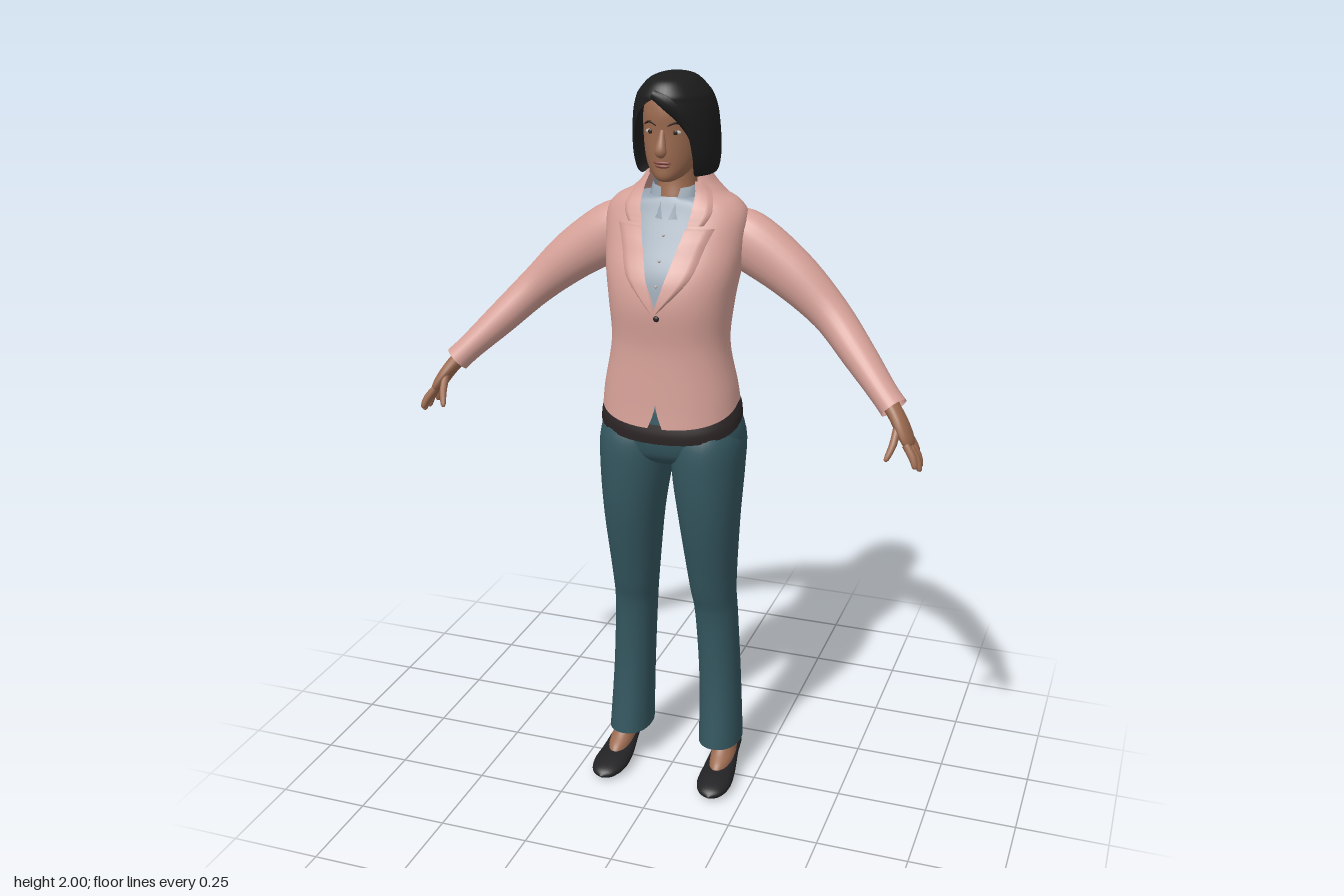
import * as THREE from 'three';
import { mergeVertices } from 'three/addons/utils/BufferGeometryUtils.js';

const mat = (name, color) => new THREE.MeshStandardMaterial({ name, color, side: THREE.DoubleSide });
const M = {
  skin: mat('skin', 0x9c6b50), hair: mat('hair', 0x1c1c1d), jacket: mat('jacket pink', 0xd6a198),
  shirt: mat('shirt grey blue', 0x98a5b2), trousers: mat('trousers teal', 0x34565f),
  shoes: mat('shoe black', 0x222224), belt: mat('belt dark', 0x2a2324),
  lips: mat('lips', 0x85483e), eye: mat('eye white', 0xb9b4ac), iris: mat('iris', 0x2e1f18),
};

// Catmull-Rom through rows of numbers
function smooth(rows, steps = 5) {
  const out = [], n = rows.length, at = i => rows[Math.min(n - 1, Math.max(0, i))];
  for (let i = 0; i < n - 1; i++) for (let k = 0; k < steps; k++) {
    const t = k / steps, [a, b, c, d] = [at(i - 1), at(i), at(i + 1), at(i + 2)];
    out.push(b.map((_, j) => 0.5 * (2 * b[j] + (c[j] - a[j]) * t
      + (2 * a[j] - 5 * b[j] + 4 * c[j] - d[j]) * t * t + (3 * b[j] - a[j] - 3 * c[j] + d[j]) * t ** 3)));
  }
  out.push(rows[n - 1]);
  return out;
}

// Smooth surface from f(i, j) -> [x, y, z]
function grid(nu, nv, f) {
  const pos = [], idx = [], w = nu + 1;
  for (let j = 0; j <= nv; j++) for (let i = 0; i <= nu; i++) pos.push(...f(i, j));
  for (let j = 0; j < nv; j++) for (let i = 0; i < nu; i++) {
    const a = j * w + i;
    idx.push(a, a + 1, a + w + 1, a, a + w + 1, a + w);
  }
  let g = new THREE.BufferGeometry();
  g.setAttribute('position', new THREE.Float32BufferAttribute(pos, 3));
  g.setIndex(idx);
  g = mergeVertices(g, 1e-5);
  g.computeVertexNormals();
  return g;
}

// Horizontal rings, bottom to top: [y, half width, z front, z back, front gap, centre x, gap on -x]
function loft(rows, p = 2, warp = null, seg = 36) {
  const R = smooth(rows);
  return grid(seg, R.length - 1, (i, j) => {
    const [y, rx, zf, zb, gap = 0, cx = 0, gap2 = gap] = R[j];
    const open = g => Math.asin(Math.min(0.97, Math.max(0, g) / rx) ** (p / 2));
    const a0 = open(gap), a1 = 2 * Math.PI - open(gap2), a = a0 + (a1 - a0) * i / seg;
    const pw = v => Math.sign(v) * Math.abs(v) ** (2 / p);
    const pt = [cx + rx * pw(Math.sin(a)), y, (zf + zb) / 2 + (zf - zb) / 2 * pw(Math.cos(a))];
    return warp ? warp(pt) : pt;
  });
}

// Tube along a path: [x, y, z, radius along ref, other radius]
function limb(rows, ref = [0, 0, 1], seg = 18, steps = 5) {
  const R = smooth(rows, steps), V = r => new THREE.Vector3(r[0], r[1], r[2]), X = new THREE.Vector3(...ref);
  const frames = R.map((r, j) => {
    const t = V(R[Math.min(R.length - 1, j + 1)]).sub(V(R[Math.max(0, j - 1)])).normalize();
    const n = X.clone().addScaledVector(t, -X.dot(t)).normalize();
    return [n, t.clone().cross(n)];
  });
  return grid(seg, R.length - 1, (i, j) => {
    const a = 2 * Math.PI * i / seg, [n, b] = frames[j];
    return V(R[j]).addScaledVector(n, R[j][3] * Math.cos(a)).addScaledVector(b, R[j][4] * Math.sin(a)).toArray();
  });
}

function mirrored(geo) {
  const g = geo.clone().scale(-1, 1, 1), ix = g.index.array;
  for (let i = 0; i < ix.length; i += 3) [ix[i], ix[i + 1]] = [ix[i + 1], ix[i]];
  g.computeVertexNormals();
  return g;
}

function ball(x, y, z, rx, ry, rz) {
  return new THREE.SphereGeometry(1, 16, 10).scale(rx, ry, rz).translate(x, y, z);
}

export function createModel() {
  const root = new THREE.Group();
  root.name = 'woman';
  const add = (name, geo, material) => {
    const m = new THREE.Mesh(geo, material);
    m.name = name;
    root.add(m);
  };
  const pair = (name, geo, material) => {
    add(name + 'Left', geo, material);
    add(name + 'Right', mirrored(geo), material);
  };

  // Jacket body with a V opening and a hem dipping at the front
  const P = 2.3;
  const torso = [
    [1.15, 0.185, 0.145, -0.13, 0.02], [1.2, 0.178, 0.14, -0.12, 0], [1.31, 0.157, 0.135, -0.11, 0],
    [1.42, 0.165, 0.145, -0.135, 0], [1.5, 0.178, 0.13, -0.15, 0.03], [1.58, 0.188, 0.09, -0.155, 0.052],
    [1.64, 0.188, 0.06, -0.145, 0.066], [1.675, 0.165, 0.045, -0.135, 0.074],
    [1.7, 0.12, 0.03, -0.125, 0.074], [1.74, 0.075, 0.02, -0.115, 0.064]];
  add('jacketBody', loft(torso, P, ([x, y, z]) =>
    [x, y - 0.05 * Math.max(0, z) / 0.145 * Math.min(1, Math.max(0, (1.3 - y) / 0.15)), z], 48), M.jacket);
  add('jacketCollar', loft([[1.69, 0.132, 0.03, -0.137, 0.105], [1.72, 0.1, 0.02, -0.13, 0.08],
    [1.75, 0.08, 0.01, -0.116, 0.065]], P), M.jacket);

  // Lapels laid on the jacket front
  const dense = smooth(torso, 12);
  const frontZ = (x, y) => {
    const [, rx, zf, zb] = dense.find(r => r[0] >= y) || dense[dense.length - 1];
    return (zf + zb) / 2 + (zf - zb) / 2 * Math.max(0, 1 - Math.min(1, x / rx) ** P) ** (1 / P);
  };
  const flap = rows => {
    const R = smooth(rows, 4);
    return grid(6, R.length - 1, (i, j) => {
      const [y, a, b] = R[j], x = a + (b - a) * i / 6;
      return [x, y, frontZ(x, y) + (i === 6 ? 0.002 : 0.01)];
    });
  };
  pair('lapel', flap([[1.415, 0, 0.008], [1.5, 0.026, 0.085], [1.58, 0.048, 0.113], [1.622, 0.06, 0.13]]), M.jacket);
  pair('collarFlap', flap([[1.628, 0.062, 0.102], [1.66, 0.069, 0.118], [1.7, 0.07, 0.106], [1.73, 0.064, 0.078]]), M.jacket);
  add('jacketButton', ball(0.006, 1.4, 0.146, 0.008, 0.008, 0.005), M.belt);

  // Shirt
  const inner = torso.slice(3, 8).map(([y, rx, zf, zb]) => [y, rx - 0.01, zf - 0.008, zb + 0.01]);
  add('shirt', loft([...inner, [1.69, 0.05, 0.03, -0.09]], P), M.shirt);
  pair('shirtCollar', grid(6, 3, (i, j) => {
    const a = 0.1 + 0.12 * j + i / 6 * (3.04 - 0.12 * j), r = 0.078 - 0.006 * j;
    return [r * Math.sin(a), 1.65 + 0.024 * j - 0.012 * Math.cos(a), -0.025 + (r + 0.008 - 0.008 * j) * Math.cos(a)];
  }), M.shirt);
  for (let k = 0; k < 3; k++)
    add('shirtButton', ball(0, 1.48 + k * 0.06, frontZ(0, 1.48 + k * 0.06) - 0.006, 0.004, 0.004, 0.003), M.eye);

  // Sleeves
  pair('sleeve', limb([[0.1, 1.6, -0.07, 0.01, 0.01], [0.125, 1.59, -0.07, 0.05, 0.055],
    [0.18, 1.572, -0.07, 0.063, 0.078], [0.3, 1.495, -0.065, 0.06, 0.068], [0.41, 1.4, -0.055, 0.055, 0.052],
    [0.5, 1.31, -0.01, 0.049, 0.044], [0.575, 1.235, 0.035, 0.042, 0.036], [0.61, 1.2, 0.053, 0.042, 0.036]], [0, 0, 1], 24), M.jacket);

  // Hands
  pair('palm', limb([[0.58, 1.23, 0.038, 0.027, 0.022], [0.615, 1.19, 0.06, 0.029, 0.02], [0.64, 1.155, 0.075, 0.037, 0.018],
    [0.66, 1.12, 0.086, 0.034, 0.013], [0.664, 1.112, 0.088, 0.002, 0.002]]), M.skin);
  const fingers = [[0.66, 1.125, 0.06, 0.675, 1.072, 0.055], [0.662, 1.122, 0.077, 0.691, 1.06, 0.08],
    [0.66, 1.122, 0.095, 0.694, 1.058, 0.106], [0.655, 1.126, 0.11, 0.686, 1.072, 0.13],
    [0.628, 1.165, 0.09, 0.612, 1.09, 0.148]];
  for (const [x, y, z, X, Y, Z] of fingers) {
    const at = (t, r) => [x + (X - x) * t + 0.005 * Math.sin(Math.PI * t), y + (Y - y) * t, z + (Z - z) * t, r, r];
    pair('finger', limb([at(0, 0.01), at(0.5, 0.01), at(0.92, 0.007), at(1, 0.001)], [0, 0, 1], 10, 3), M.skin);
  }

  // Trousers and belt
  add('trouserSeat', loft([[0.955, 0.04, 0.02, -0.06], [0.975, 0.12, 0.07, -0.09], [1.005, 0.188, 0.105, -0.122],
    [1.06, 0.198, 0.118, -0.136], [1.11, 0.186, 0.118, -0.122], [1.16, 0.16, 0.1, -0.1], [1.17, 0.01, 0.01, -0.01]], 2.3), M.trousers);
  pair('trouserLeg', loft([[0.1, 0.06, 0.05, -0.12, 0, 0.137], [0.3, 0.057, 0.03, -0.115, 0, 0.13],
    [0.5, 0.058, 0.036, -0.105, 0, 0.12], [0.6, 0.063, 0.06, -0.096, 0, 0.114], [0.8, 0.08, 0.105, -0.1, 0, 0.109],
    [0.95, 0.095, 0.12, -0.122, 0, 0.103], [1.05, 0.096, 0.115, -0.135, 0, 0.101], [1.12, 0.07, 0.08, -0.1, 0, 0.095]], 2.2), M.trousers);
  add('belt', loft([[1.1, 0.194, 0.13, -0.12], [1.125, 0.19, 0.13, -0.12], [1.15, 0.178, 0.125, -0.118]], 2.3,
    ([x, y, z]) => [x, y - 0.045 * z / 0.12, z]), M.belt);

  // Feet and heeled shoes
  pair('foot', loft([[0.035, 0.034, 0.085, -0.08, 0, 0.155], [0.06, 0.034, 0.068, -0.083, 0, 0.155],
    [0.085, 0.032, 0.03, -0.083, 0, 0.152], [0.12, 0.032, 0, -0.08, 0, 0.147], [0.2, 0.035, 0, -0.085, 0, 0.138]]), M.skin);
  pair('shoe', limb([[0.153, 0.076, -0.096, 0.004, 0.004], [0.153, 0.072, -0.085, 0.032, 0.02], [0.154, 0.057, -0.03, 0.038, 0.024],
    [0.156, 0.031, 0.04, 0.047, 0.026], [0.159, 0.023, 0.1, 0.049, 0.022], [0.162, 0.018, 0.145, 0.033, 0.015],
    [0.163, 0.015, 0.164, 0.002, 0.002]], [1, 0, 0], 20), M.shoes);
  pair('heel', new THREE.CylinderGeometry(0.026, 0.011, 0.066, 14).translate(0.153, 0.033, -0.077), M.shoes);

  // Neck and head
  add('neck', loft([[1.62, 0.06, 0.03, -0.1], [1.68, 0.054, 0.02, -0.1], [1.73, 0.05, 0.01, -0.095], [1.8, 0.05, 0.01, -0.09]]), M.skin);
  add('head', loft([[1.733, 0.004, 0.05, 0.045], [1.737, 0.022, 0.07, 0.01], [1.75, 0.042, 0.079, -0.04], [1.775, 0.06, 0.08, -0.07],
    [1.81, 0.071, 0.082, -0.1], [1.86, 0.077, 0.083, -0.12], [1.91, 0.075, 0.086, -0.12], [1.95, 0.06, 0.07, -0.1],
    [1.975, 0.01, 0, -0.03]]), M.skin);
  add('nose', limb([[0, 1.877, 0.074, 0.005, 0.005], [0, 1.85, 0.083, 0.009, 0.009], [0, 1.82, 0.092, 0.015, 0.012],
    [0, 1.808, 0.09, 0.013, 0.01], [0, 1.8, 0.082, 0.002, 0.002]], [1, 0, 0], 14), M.skin);
  add('upperLip', ball(0, 1.786, 0.08, 0.024, 0.005, 0.006), M.lips);
  add('lowerLip', ball(0, 1.777, 0.079, 0.019, 0.005, 0.006), M.lips);
  pair('eye', ball(0.033, 1.862, 0.07, 0.014, 0.006, 0.006), M.eye);
  pair('iris', ball(0.033, 1.862, 0.0745, 0.006, 0.006, 0.003), M.iris);
  pair('eyebrow', limb([[0.014, 1.878, 0.08, 0.003, 0.003], [0.034, 1.886, 0.075, 0.003, 0.003],
    [0.053, 1.878, 0.058, 0.002, 0.002]], [0, 0, 1], 8), M.iris);

  // Bobbed hair, parted over the face
  add('hair', loft([[1.765, 0.06, 0.02, -0.1, 0.054, 0, 0.057], [1.745, 0.09, 0.04, -0.13, 0.068, 0, 0.076],
    [1.755, 0.104, 0.062, -0.147, 0.069, 0, 0.08], [1.8, 0.111, 0.08, -0.156, 0.071, 0, 0.084],
    [1.86, 0.109, 0.095, -0.158, 0.064, 0, 0.082], [1.905, 0.104, 0.1, -0.154, 0.045, 0, 0.064],
    [1.935, 0.096, 0.1, -0.143, 0.006, 0, 0.035], [1.955, 0.086, 0.098, -0.13, 0, 0, 0], [1.985, 0.058, 0.075, -0.098, 0, 0, 0],
    [1.997, 0.028, 0.03, -0.055, 0, 0, 0], [2, 0.002, -0.01, -0.014, 0, 0, 0]], 2.1, null, 44), M.hair);
  add('fringe', limb([[-0.02, 1.955, 0.09, 0.01, 0.012], [0.015, 1.937, 0.094, 0.008, 0.018], [0.045, 1.905, 0.082, 0.007, 0.016],
    [0.066, 1.86, 0.06, 0.006, 0.01], [0.072, 1.82, 0.045, 0.003, 0.004]], [0, 0, 1], 12), M.hair);
  return root;
}
